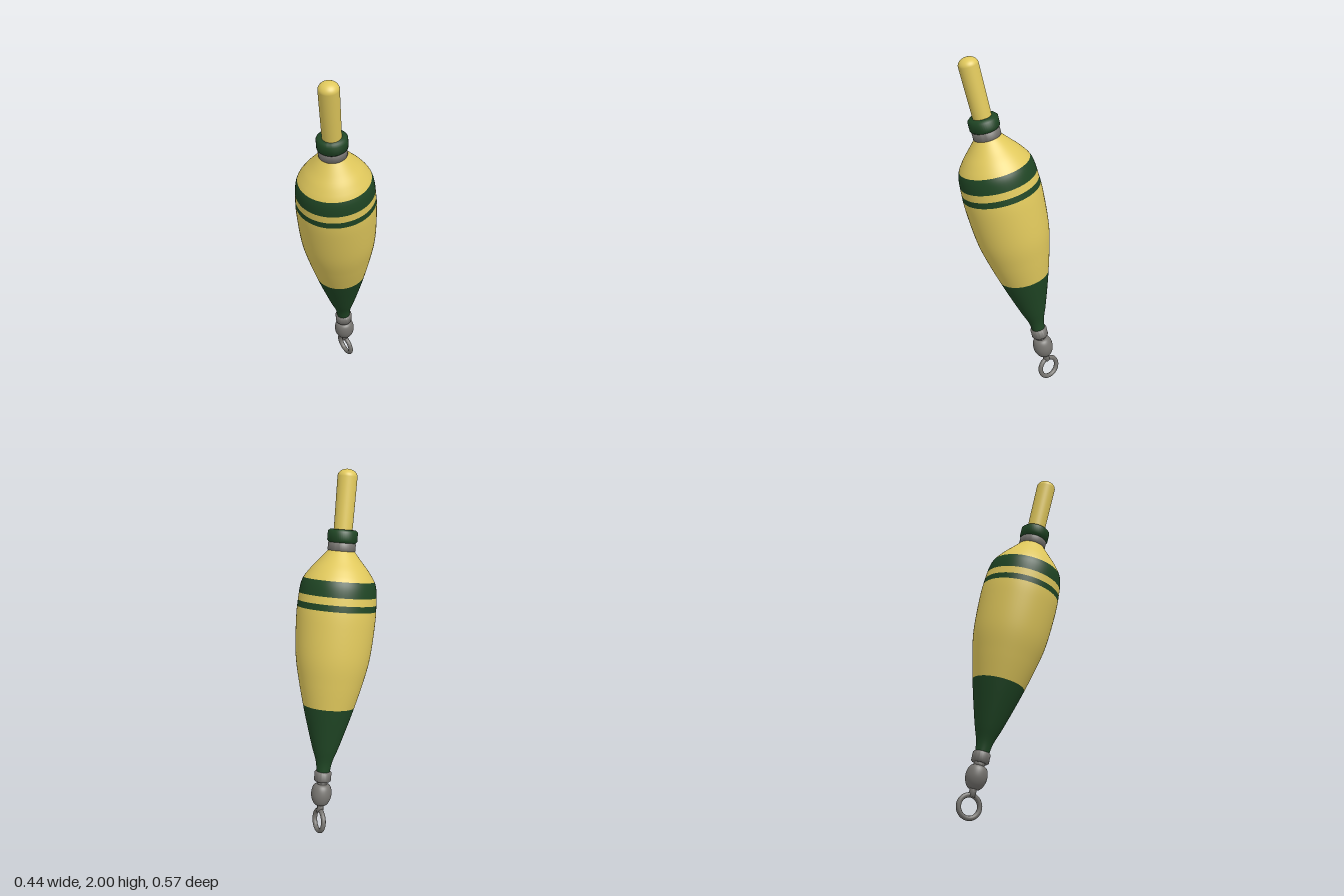
import * as THREE from 'three';
import { toCreasedNormals } from 'three/addons/utils/BufferGeometryUtils.js';

const material = (name, color) => {
  const m = new THREE.MeshStandardMaterial({ color });
  m.name = name;
  return m;
};

export function createModel() {
  const yellow = material('yellow paint', 0xe0c85c);
  const green = material('dark green paint', 0x1f4524);
  const grey = material('grey metal', 0x767470);

  const model = new THREE.Group();
  model.name = 'fishingFloat';

  // Everything is turned about one leaning axis
  const axis = new THREE.Group();
  axis.name = 'leaningFloat';
  axis.position.y = 1.093;
  axis.rotation.x = THREE.MathUtils.degToRad(13.3);
  model.add(axis);

  const add = (name, geometry, mat) => {
    const mesh = new THREE.Mesh(geometry, mat);
    mesh.name = name;
    axis.add(mesh);
    return mesh;
  };
  const lathe = (points, sides = 64) => new THREE.LatheGeometry(points, sides);
  const vec = ([r, y]) => new THREE.Vector2(r, y);

  // Closed ring or disc with a small bevel on both rims
  const collar = (name, r, y0, y1, mat, bevel = 0.008) => add(name, toCreasedNormals(lathe([
    [0, y0], [r - bevel, y0], [r, y0 + bevel], [r, y1 - bevel], [r - bevel, y1], [0, y1],
  ].map(vec), 48), 0.9), mat);

  // Body: one smooth profile cut into painted bands
  const profile = new THREE.SplineCurve([
    [0.037, -0.765], [0.046, -0.698], [0.073, -0.617], [0.106, -0.508], [0.138, -0.395],
    [0.178, -0.236], [0.206, -0.09], [0.218, 0.1], [0.216, 0.21], [0.204, 0.315],
    [0.165, 0.382], [0.118, 0.438], [0.07, 0.495],
  ].map(vec));
  const pointAt = (y) => {
    let lo = 0, hi = 1;
    for (let i = 0; i < 24; i++) {
      const mid = (lo + hi) / 2;
      if (profile.getPoint(mid).y < y) lo = mid; else hi = mid;
    }
    return profile.getPoint((lo + hi) / 2);
  };
  const bands = [
    ['lowerCone', -0.765, -0.37, green],
    ['bodyMain', -0.37, 0.177, yellow],
    ['thinStripe', 0.177, 0.211, green],
    ['stripeGap', 0.211, 0.252, yellow],
    ['wideStripe', 0.252, 0.336, green],
    ['shoulder', 0.336, 0.495, yellow],
  ];
  for (const [name, y0, y1, mat] of bands) {
    const n = Math.max(4, Math.ceil((y1 - y0) / 0.014));
    const points = Array.from({ length: n + 1 }, (_, i) => pointAt(y0 + (y1 - y0) * i / n));
    add(name, lathe(points), mat);
  }

  // Collars above the body
  collar('metalCollar', 0.076, 0.487, 0.54, grey);
  collar('greenCollar', 0.082, 0.534, 0.607, green, 0.012);

  // Antenna with a domed tip
  const antenna = [new THREE.Vector2(0.051, 0.6)];
  for (let i = 0; i <= 12; i++) {
    const a = (i / 12) * Math.PI / 2;
    antenna.push(new THREE.Vector2(0.054 * Math.cos(a), 0.89 + 0.04 * Math.sin(a)));
  }
  add('antenna', lathe(antenna, 40), yellow);

  // Swivel: ferrule, necks and rounded barrel
  collar('ferrule', 0.048, -0.81, -0.752, grey, 0.006);
  collar('upperNeck', 0.03, -0.84, -0.8, grey, 0.002);
  collar('lowerNeck', 0.019, -0.995, -0.94, grey, 0.002);
  const barrel = new THREE.SplineCurve([
    [0.001, -0.953], [0.03, -0.95], [0.049, -0.925], [0.058, -0.89],
    [0.053, -0.85], [0.036, -0.828], [0.001, -0.824],
  ].map(vec));
  add('swivelBarrel', lathe(barrel.getPoints(28), 40), grey);

  // Line eye, turned a quarter way between front and side
  const eye = add('lineEye', new THREE.TorusGeometry(0.06, 0.0135, 16, 48), grey);
  eye.position.y = -1.045;
  eye.rotation.y = -Math.PI / 4;

  return model;
}
